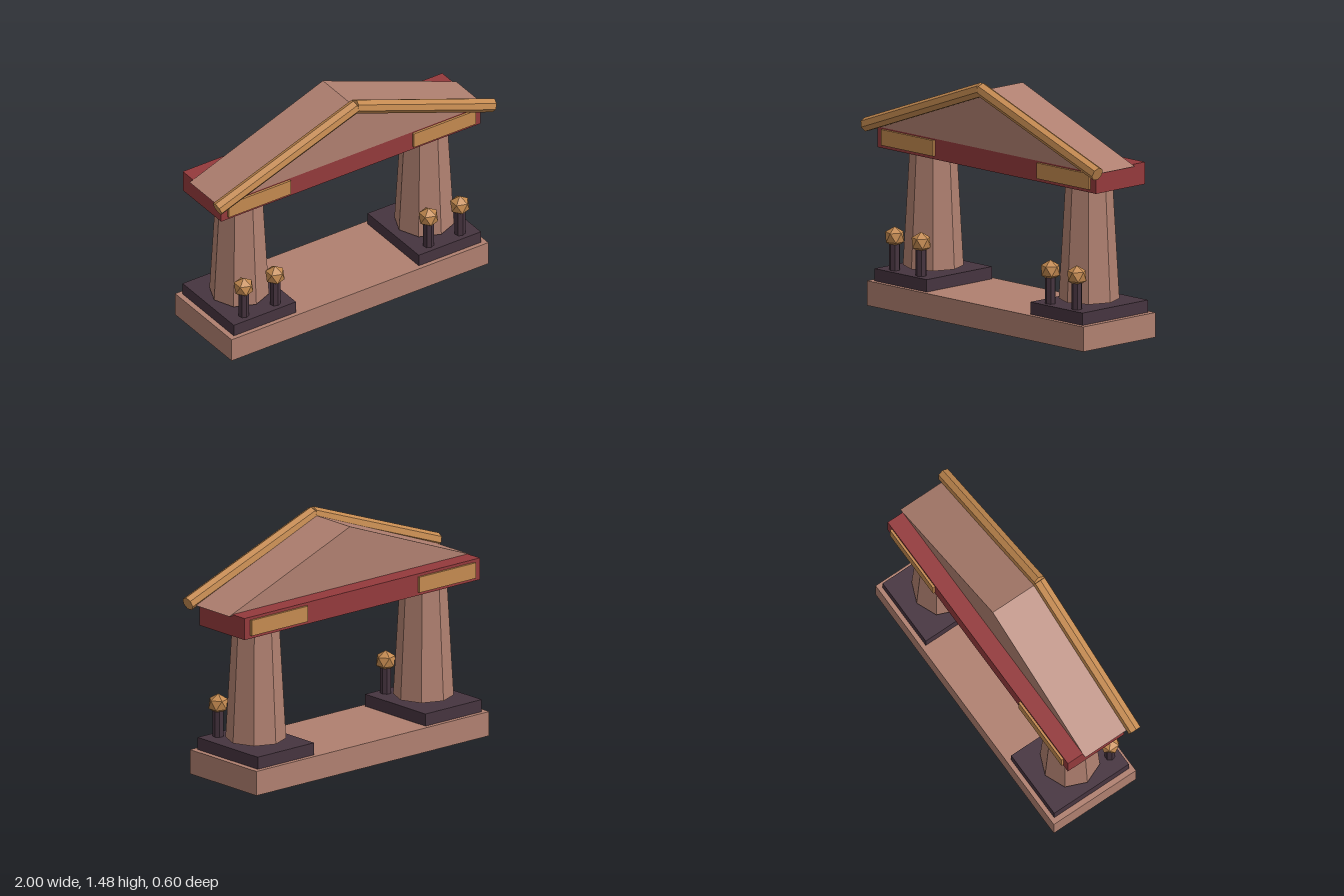
import * as THREE from 'three';

const mat = (name, color) => {
  const m = new THREE.MeshStandardMaterial({ color, flatShading: true });
  m.name = name;
  return m;
};

export function createModel() {
  const stone = mat('rose stone', 0xb08070);
  const red = mat('red lacquer', 0x943a3c);
  const gold = mat('gold', 0xc48a50);
  const dark = mat('dark plum', 0x46343f);

  const model = new THREE.Group();
  model.name = 'gateway';
  const add = (name, geometry, material, x, y, z) => {
    const mesh = new THREE.Mesh(geometry, material);
    mesh.name = name;
    mesh.position.set(x, y, z);
    model.add(mesh);
    return mesh;
  };
  // box given by width, depth and its bottom and top heights
  const slab = (name, material, x, w, y0, y1, d) =>
    add(name, new THREE.BoxGeometry(w, y1 - y0, d), material, x, (y0 + y1) / 2, 0);

  slab('base', stone, 0, 1.84, 0, 0.15, 0.595);
  slab('lintel', red, 0, 1.86, 0.944, 1.078, 0.405);

  // triangular pediment, ridge running front to back
  const triangle = new THREE.Shape([
    new THREE.Vector2(-0.955, 1.07),
    new THREE.Vector2(0.955, 1.07),
    new THREE.Vector2(0, 1.435),
  ]);
  add('pediment', new THREE.ExtrudeGeometry(triangle, { depth: 0.3, bevelEnabled: false }),
    stone, 0, 0, -0.094);

  // lantern globe turned so that one corner points up
  const globe = new THREE.IcosahedronGeometry(0.064, 0);
  globe.rotateZ(-Math.atan(2 / (1 + Math.sqrt(5))));
  const post = new THREE.CylinderGeometry(0.033, 0.033, 0.17, 7);
  const column = new THREE.CylinderGeometry(0.14, 0.18, 0.71, 8);
  const rake = new THREE.CylinderGeometry(0.043, 0.043, 1.054, 7);

  for (const side of [-1, 1]) {
    const sideName = side > 0 ? 'left' : 'right';
    const x = side * 0.663;
    slab(sideName + 'Plinth', dark, x, 0.445, 0.15, 0.225, 0.54);
    add(sideName + 'Column', column, stone, x, 0.241 + 0.355, 0);
    slab(sideName + 'LintelPanel', gold, x, 0.445, 0.964, 1.06, 0.434);

    // sloping roof beam, one corner of its section on top
    const beam = add(sideName + 'RoofBeam', rake, gold, side * 0.4905, 1.2595, 0.244);
    const along = new THREE.Vector3(side * 0.989, -0.363, 0).normalize();
    const up = new THREE.Vector3(side * 0.363, 0.989, 0).normalize();
    beam.quaternion.setFromRotationMatrix(
      new THREE.Matrix4().makeBasis(new THREE.Vector3().crossVectors(along, up), along, up));

    // pair of lanterns in front of the column
    for (const lx of [0.55, 0.775]) {
      add(sideName + 'LanternPost', post, dark, side * lx, 0.305, 0.21);
      add(sideName + 'LanternGlobe', globe, gold, side * lx, 0.425, 0.21);
    }
  }
  return model;
}
